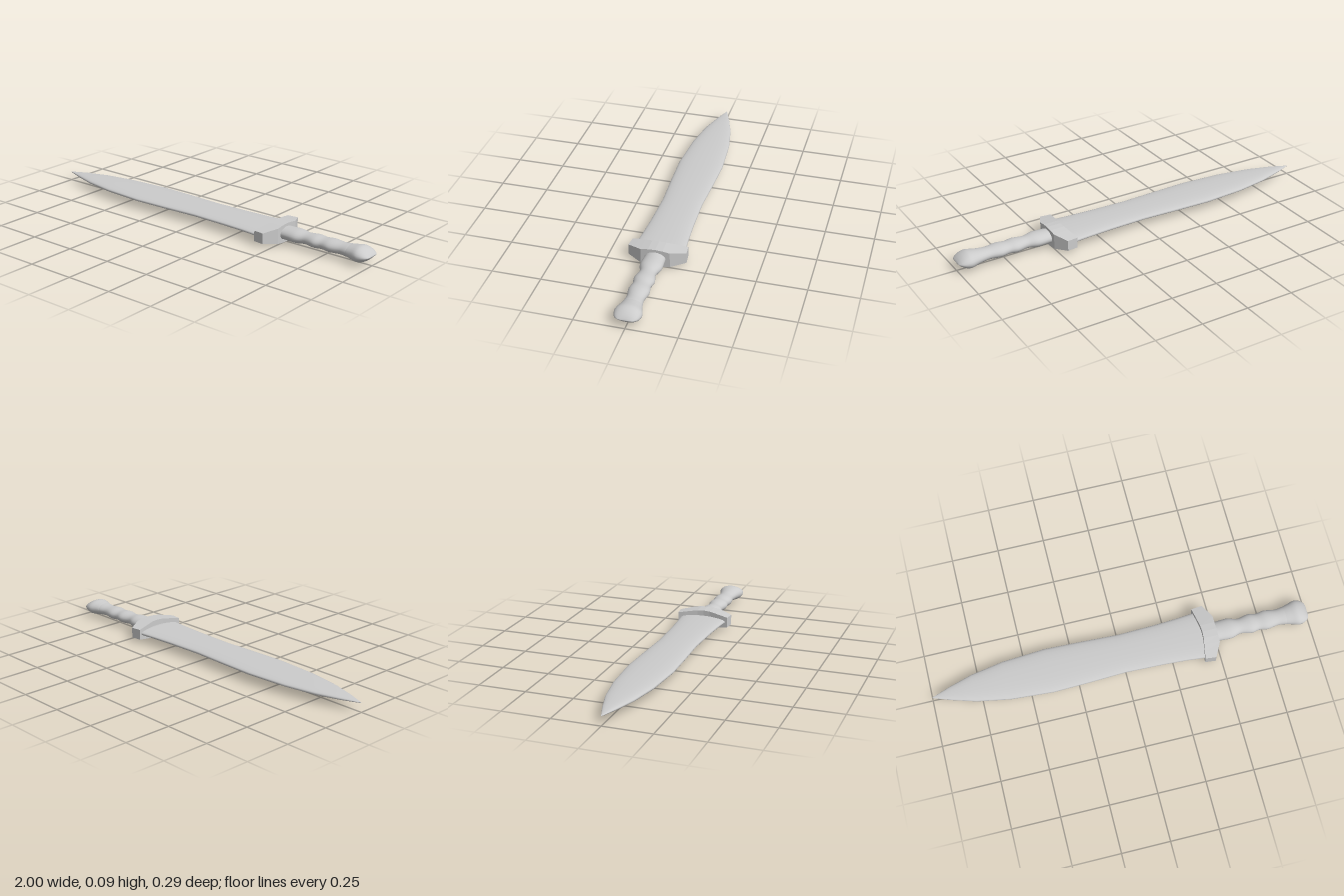
import * as THREE from 'three';

const CY = 0.0475; // height of the long axis
const mat = new THREE.MeshStandardMaterial({ color: 0xcccccc });
const flatMat = new THREE.MeshStandardMaterial({ color: 0xcccccc, flatShading: true });

// Loft rounded sections along x. Stations are [x, halfWidth, halfThickness];
// power 1 gives an ellipse, smaller values a boxier section.
function loft(stations, sides, power) {
  const pos = [], index = [];
  const soft = (v) => Math.sign(v) * Math.abs(v) ** power;
  stations.forEach(([x, w, h], i) => {
    for (let j = 0; j < sides; j++) {
      const a = (j / sides) * Math.PI * 2;
      pos.push(x, CY + h * soft(Math.sin(a)), w * soft(Math.cos(a)));
      if (i === stations.length - 1) continue;
      const k = (j + 1) % sides;
      const A = i * sides + j, B = A + sides, C = i * sides + k, D = C + sides;
      index.push(A, B, C, B, D, C);
    }
  });
  const g = new THREE.BufferGeometry();
  g.setAttribute('position', new THREE.Float32BufferAttribute(pos, 3));
  g.setIndex(index);
  g.computeVertexNormals();
  return g;
}

// Smooth a list of stations with a spline
function smooth(stations, n) {
  const curve = new THREE.CatmullRomCurve3(stations.map((s) => new THREE.Vector3(...s)));
  return curve.getPoints(n).map((p) => [p.x, Math.max(p.y, 0), Math.max(p.z, 0)]);
}

// Cross-guard: a box whose faces follow profiles from its middle to its ends
function guardGeometry() {
  const g = new THREE.BoxGeometry(1, 1, 1, 1, 1, 8);
  const half = [0.0475, 0.0455, 0.04, 0.034, 0.0275];
  const gripSide = [0.505, 0.505, 0.505, 0.486, 0.467];
  const bladeSide = [0.43, 0.428, 0.422, 0.416, 0.411];
  const p = g.attributes.position;
  for (let i = 0; i < p.count; i++) {
    const t = p.getZ(i) * 2, k = Math.round(Math.abs(t) * 4);
    const onGrip = p.getX(i) > 0;
    p.setXYZ(i,
      onGrip ? gripSide[k] : bladeSide[k],
      CY + Math.sign(p.getY(i)) * half[k],
      t * (onGrip ? 0.147 : 0.141));
  }
  g.computeVertexNormals();
  return g;
}

export function createModel() {
  const model = new THREE.Group();
  const add = (name, geometry, material = mat) => {
    const mesh = new THREE.Mesh(geometry, material);
    mesh.name = name;
    model.add(mesh);
  };

  // Leaf-shaped blade, tip at -x
  add('blade', loft([
    [-1, 0, 0], [-0.985, 0.006, 0.003], [-0.9, 0.037, 0.011], [-0.78, 0.074, 0.0155],
    [-0.61, 0.105, 0.0175], [-0.385, 0.121, 0.018], [-0.2, 0.115, 0.018],
    [0, 0.106, 0.018], [0.2, 0.112, 0.018], [0.32, 0.119, 0.018],
    [0.415, 0.128, 0.018], [0.45, 0.128, 0.018], [0.45, 0, 0],
  ], 24, 0.85));

  add('guard', guardGeometry(), flatMat);

  // Waisted grip
  add('grip', loft(smooth([
    [0.47, 0.05, 0.032], [0.52, 0.053, 0.033], [0.58, 0.055, 0.034], [0.63, 0.041, 0.029],
    [0.69, 0.052, 0.032], [0.73, 0.045, 0.029], [0.775, 0.052, 0.032],
    [0.835, 0.043, 0.029], [0.88, 0.049, 0.032],
  ], 48), 24, 1));

  // Pommel, narrowing to a wedge at the end
  add('pommel', loft([...smooth([
    [0.875, 0.048, 0.031], [0.905, 0.056, 0.036], [0.94, 0.067, 0.04],
    [0.965, 0.064, 0.032], [0.985, 0.054, 0.019], [0.997, 0.04, 0.007],
  ], 20), [1, 0.03, 0.002], [1, 0, 0]], 24, 1));

  return model;
}
